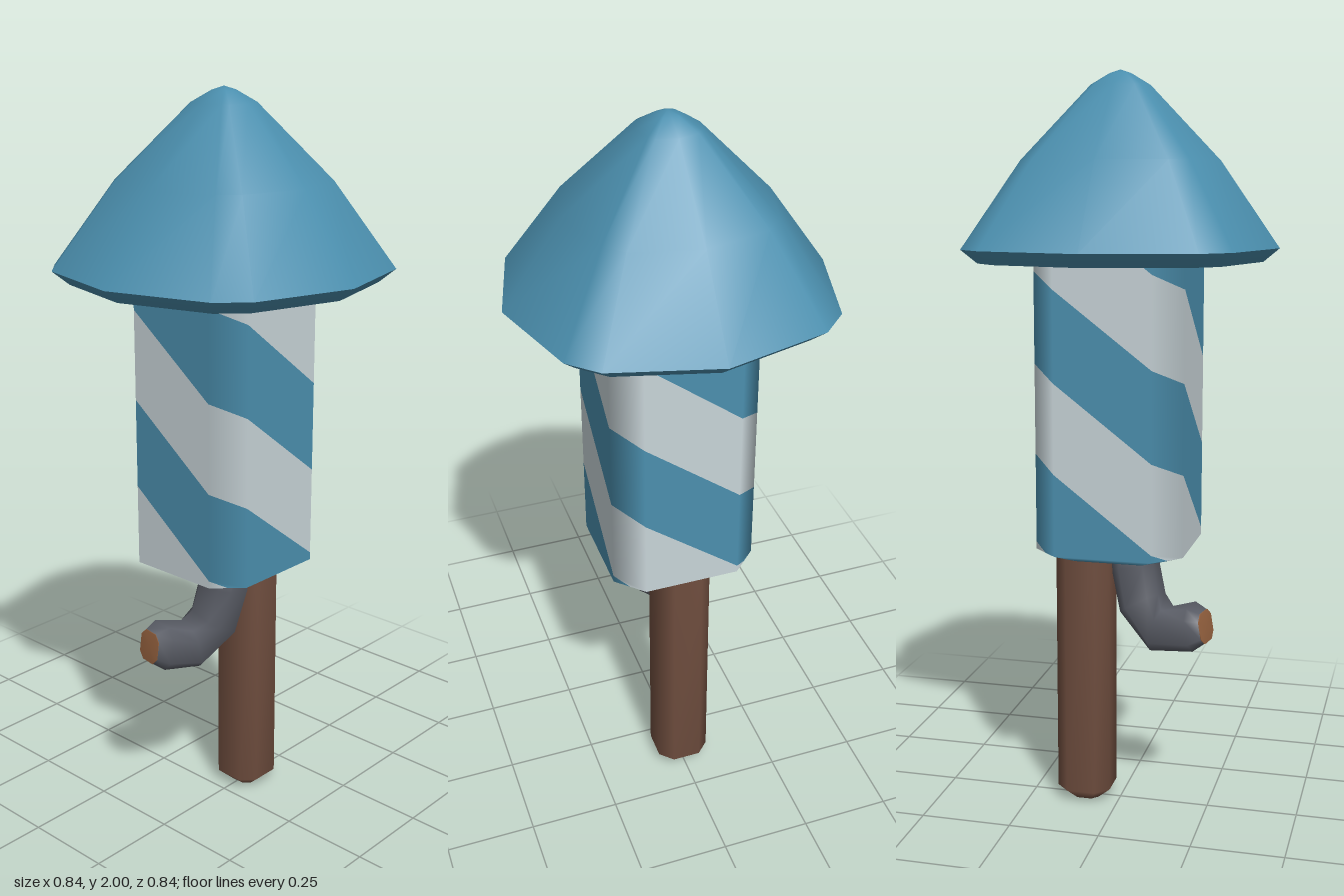
import * as THREE from 'three';

const material = (name, color, side = THREE.FrontSide) =>
  Object.assign(new THREE.MeshStandardMaterial({ color, side }), { name });

// Repeats the front quarter of an outline of [x, z] points around all four sides
function fourSides(points) {
  const out = [];
  let quarter = points;
  for (let q = 0; q < 4; q++) {
    out.push(...quarter);
    quarter = quarter.map(([x, z]) => [z, -x]);
  }
  return out;
}
const octagon = (half, flat) => fourSides([[-flat, half], [flat, half]]);
const level = (outline, y, scale = 1, cx = 0) =>
  outline.map(([x, z]) => new THREE.Vector3(cx + x * scale, y, z * scale));

// Skin over rings of equal length, with optional fans closing the ends
function loft(rings, closeStart, closeEnd) {
  const n = rings[0].length, verts = rings.flat(), index = [];
  for (let i = 0; i < rings.length - 1; i++) {
    for (let j = 0; j < n; j++) {
      const k = (j + 1) % n, a = i * n + j, b = i * n + k;
      index.push(a, b, b + n, a, b + n, a + n);
    }
  }
  const fan = (ring, first, flip) => {
    const centre = ring.reduce((s, p) => s.add(p), new THREE.Vector3()).divideScalar(n);
    const c = verts.push(centre) - 1;
    for (let j = 0; j < n; j++) {
      const a = first + j, b = first + (j + 1) % n;
      index.push(c, flip ? b : a, flip ? a : b);
    }
  };
  if (closeStart) fan(rings[0], 0, true);
  if (closeEnd) fan(rings.at(-1), (rings.length - 1) * n, false);
  const geo = new THREE.BufferGeometry().setFromPoints(verts);
  geo.setIndex(index);
  geo.computeVertexNormals();
  return geo;
}

// Keeps the part of a [u, y] polygon on one side of a height
function clip(poly, limit, sign) {
  const out = [];
  poly.forEach((p, i) => {
    const q = poly[(i + 1) % poly.length];
    const dp = (p[1] - limit) * sign, dq = (q[1] - limit) * sign;
    if (dp >= 0) out.push(p);
    if (dp * dq < 0) {
      const t = dp / (dp - dq);
      out.push([p[0] + (q[0] - p[0]) * t, limit]);
    }
  });
  return out;
}

// Two sets of spiral bands around the chamfered square tube
function stripeGeometries() {
  const BOTTOM = 0.725, BEVEL = 0.75, TOP = 1.63, BAND = 0.24;
  const outline = octagon(0.2, 0.13);
  const data = [0, 1].map(() => ({ position: [], normal: [] }));
  const sideNormal = (q) => {
    const a = q * Math.PI / 2;
    return new THREE.Vector3(Math.sin(a), 0, Math.cos(a));
  };
  for (let f = 0; f < 8; f++) {
    const q = f >> 1, chamfer = f % 2;
    const p0 = outline[f], p1 = outline[(f + 1) % 8];
    const n0 = sideNormal(q), n1 = sideNormal(q + chamfer);
    const drop0 = chamfer ? 0.2 : 0, drop1 = chamfer ? BAND : 0.2;
    for (let k = -2; k < 6; k++) {
      const high = 1.69 - k * BAND, low = high - BAND;
      const band = [[0, low - drop0], [1, low - drop1], [1, high - drop1], [0, high - drop0]];
      for (const [from, to] of [[BOTTOM, BEVEL], [BEVEL, TOP]]) {
        const poly = clip(clip(band, from, 1), to, -1);
        const place = ([u, y]) => {
          const s = Math.min(1, 0.7 + 0.3 * (y - BOTTOM) / (BEVEL - BOTTOM));
          return [(p0[0] + (p1[0] - p0[0]) * u) * s, y, (p0[1] + (p1[1] - p0[1]) * u) * s];
        };
        const shade = ([u, y]) => {
          const n = n0.clone().lerp(n1, u).normalize();
          n.y = -1.5 * Math.max(0, (BEVEL - y) / (BEVEL - BOTTOM));
          return n.normalize().toArray();
        };
        const target = data[(k + q + 4) % 2];
        for (let i = 1; i < poly.length - 1; i++) {
          for (const p of [poly[0], poly[i], poly[i + 1]]) {
            target.position.push(...place(p));
            target.normal.push(...shade(p));
          }
        }
      }
    }
  }
  return data.map(({ position, normal }) => {
    const geo = new THREE.BufferGeometry();
    geo.setAttribute('position', new THREE.Float32BufferAttribute(position, 3));
    geo.setAttribute('normal', new THREE.Float32BufferAttribute(normal, 3));
    return geo;
  });
}

// Bent fuse: an octagonal section carried along a path of [x, y, z, scale]
function fuseRings() {
  const path = [
    [-0.03, 0.78, 0.03, 1], [-0.035, 0.68, 0.03, 1], [-0.06, 0.575, 0.015, 1],
    [-0.12, 0.515, -0.015, 1], [-0.215, 0.535, -0.04, 1], [-0.247, 0.54, -0.047, 0.7],
  ];
  const pts = path.map(([x, y, z]) => new THREE.Vector3(x, y, z));
  const section = octagon(0.06, 0.034);
  return pts.map((p, i) => {
    const t = pts[Math.min(i + 1, 5)].clone().sub(pts[Math.max(i - 1, 0)]).normalize();
    if (i === 4) t.copy(pts[5]).sub(pts[4]).normalize();
    const a = new THREE.Vector3(0, 0, 1).addScaledVector(t, -t.z).normalize();
    const b = t.clone().cross(a);
    return section.map(([x, z]) =>
      p.clone().addScaledVector(b, x * path[i][3]).addScaledVector(a, z * path[i][3]));
  });
}

export function createModel() {
  const group = new THREE.Group();
  const blue = material('blue', 0x4b8fae);
  const blueInside = blue;
  const white = material('white', 0xc8d4d8);
  const wood = material('wood', 0x6d4c3d);
  const grey = material('fuse grey', 0x5a5d66);
  const ember = material('fuse tip', 0x96623f);
  const add = (name, geo, mat) => {
    const mesh = new THREE.Mesh(geo, mat);
    mesh.name = name;
    group.add(mesh);
  };

  // Pointed cap with a hollow underside
  const brim = fourSides([[-0.275, 0.345], [0, 0.42], [0.275, 0.345]]);
  const capLevels = [[1.55, 1], [1.77, 0.63], [1.96, 0.19], [1.99, 0.07]];
  const cap = loft(capLevels.map(([y, s]) => level(brim, y, s)), false, true);
  const tip = cap.attributes.position.count - 1;
  cap.attributes.position.setY(tip, 2);
  cap.computeVertexNormals();
  add('cap', cap, blue);
  const under = [[1.63, 0.4], [1.56, 0.72], [1.515, 0.86], [1.515, 0.9], [1.55, 1]];
  add('capUnderside', loft(under.map(([y, s]) => level(brim, y, s))), blueInside);

  // Striped tube and its base
  const [whiteBands, blueBands] = stripeGeometries();
  add('whiteStripes', whiteBands, white);
  add('blueStripes', blueBands, blue);
  const base = octagon(0.14, 0.091);
  add('tubeBase', loft([level(base, 0.725), level(base, 0.728, 0.9)], true, false), grey);

  // Wooden stick with bevelled foot
  const stick = octagon(0.075, 0.04);
  const stickLevels = [[0, 0.5], [0.035, 1], [0.76, 1]];
  add('stick', loft(stickLevels.map(([y, s]) => level(stick, y, s, 0.097)), true, true), wood);

  // Fuse and its end face
  const rings = fuseRings();
  add('fuse', loft(rings, true, false), grey);
  const end = rings.at(-1);
  add('fuseTip', loft([end, end.map((p) => p.clone().add(new THREE.Vector3(-0.003, 0, 0)))], false, true), ember);
  return group;
}
